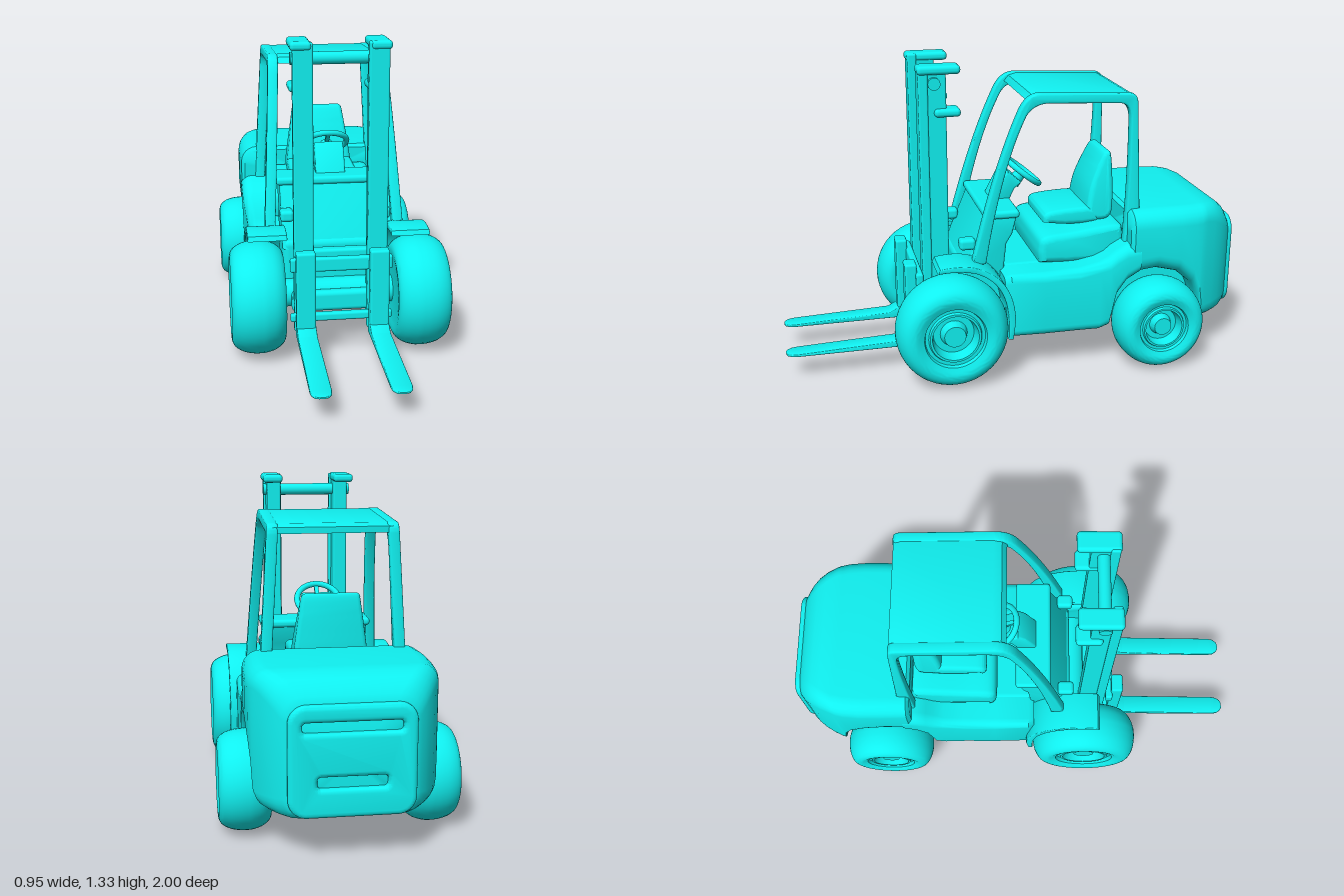
import * as THREE from 'three';
import { toCreasedNormals } from 'three/addons/utils/BufferGeometryUtils.js';
import { RoundedBoxGeometry } from 'three/addons/geometries/RoundedBoxGeometry.js';

const paint = new THREE.MeshStandardMaterial({ color: 0x10f0f0 });
const V2 = (p) => new THREE.Vector2(p[0], p[1]);

// Skin over rounded-rectangle sections [z, halfWidth, yBottom, yTop, radius], listed front to back
function loft(sections, steps = 6) {
  const pos = [], idx = [], n = 4 * (steps + 1);
  for (const [z, w, y0, y1, r] of sections) {
    const corners = [[w - r, y0 + r], [w - r, y1 - r], [r - w, y1 - r], [r - w, y0 + r]];
    corners.forEach(([cx, cy], c) => {
      for (let s = 0; s <= steps; s++) {
        const a = (c - 1 + s / steps) * Math.PI / 2;
        pos.push(cx + r * Math.cos(a), cy + r * Math.sin(a), z);
      }
    });
  }
  const last = sections.length - 1;
  for (let i = 0; i < last; i++) for (let j = 0; j < n; j++) {
    const k = (j + 1) % n, a = i * n + j, b = i * n + k;
    idx.push(a, a + n, b, a + n, b + n, b);
  }
  for (const i of [0, last]) {
    const [z, , y0, y1] = sections[i], centre = pos.length / 3;
    pos.push(0, (y0 + y1) / 2, z);
    for (let j = 0; j < n; j++) {
      const a = i * n + j, b = i * n + (j + 1) % n;
      if (i === 0) idx.push(centre, a, b); else idx.push(centre, b, a);
    }
  }
  const g = new THREE.BufferGeometry();
  g.setAttribute('position', new THREE.Float32BufferAttribute(pos, 3));
  g.setIndex(idx);
  return toCreasedNormals(g, 0.7);
}

// Side profile in (z, y), extruded across x and centred on x = 0
function across(shape, width, bevel = 0.01) {
  const g = new THREE.ExtrudeGeometry(shape, {
    depth: width - 2 * bevel, bevelEnabled: bevel > 0, bevelThickness: bevel,
    bevelSize: bevel, bevelOffset: -bevel, bevelSegments: 3, curveSegments: 16,
  });
  g.translate(0, 0, bevel - width / 2);
  g.rotateY(-Math.PI / 2);
  return toCreasedNormals(g, 0.6);
}
const poly = (pts) => new THREE.Shape(pts.map(V2));
const smooth = (pts) => new THREE.Shape(new THREE.SplineCurve([...pts, pts[0]].map(V2)).getPoints(48).slice(0, -1));

// Rounded box given by its limits
function block(x0, x1, y0, y1, z0, z1, r = 0.012) {
  const g = new RoundedBoxGeometry(x1 - x0, y1 - y0, z1 - z0, 3, r);
  return g.translate((x0 + x1) / 2, (y0 + y1) / 2, (z0 + z1) / 2);
}
const bar = (r, length, y, z) => new THREE.CylinderGeometry(r, r, length, 24).rotateZ(Math.PI / 2).translate(0, y, z);

// Tyre, dished rim and hub in one turned profile; the outer face points to +x
function wheelGeometry(R, x0, x1, y, z) {
  const w = x1 - x0;
  const tyre = new THREE.SplineCurve([[0.56, 0.05], [0.78, 0.03], [0.92, 0.16], [0.99, 0.36],
    [1, 0.55], [0.96, 0.77], [0.86, 0.94], [0.72, 1], [0.6, 0.97]].map(V2)).getPoints(32).map((p) => [Math.min(p.x, 1), p.y]);
  const profile = [[0, 0.05], ...tyre, [0.55, 0.95], [0.53, 0.88], [0.47, 0.88], [0.45, 0.93],
    [0.41, 0.93], [0.36, 0.7], [0.24, 0.7], [0.21, 0.8], [0.19, 0.87], [0, 0.87]];
  const g = new THREE.LatheGeometry(profile.map(([r, t]) => new THREE.Vector2(r * R, t * w)), 48);
  return toCreasedNormals(g.rotateZ(-Math.PI / 2).translate(x0, y, z), 0.6);
}

export function createModel() {
  const model = new THREE.Group();
  const add = (name, geometry) => {
    const m = new THREE.Mesh(geometry, paint);
    m.name = name;
    model.add(m);
    return m;
  };
  // Part at +x and its mirrored twin
  const pair = (name, geometry) => {
    add(name + 'Left', geometry);
    add(name + 'Right', geometry).scale.x = -1;
  };

  // Chassis, side hull and counterweight
  add('chassis', block(-0.23, 0.23, 0.165, 0.46, -0.86, 0.24, 0.03));
  add('hull', loft([
    [0.075, 0.335, 0.18, 0.44, 0.03], [0.05, 0.355, 0.17, 0.455, 0.035], [-0.1, 0.36, 0.167, 0.455, 0.04],
    [-0.25, 0.36, 0.167, 0.46, 0.04], [-0.34, 0.363, 0.167, 0.48, 0.04], [-0.385, 0.365, 0.18, 0.5, 0.05],
    [-0.415, 0.366, 0.32, 0.525, 0.05], [-0.46, 0.368, 0.385, 0.55, 0.05], [-0.52, 0.368, 0.42, 0.56, 0.05]]));
  add('counterweight', loft([
    [-0.475, 0.35, 0.41, 0.68, 0.07], [-0.49, 0.365, 0.41, 0.695, 0.075], [-0.6, 0.37, 0.425, 0.7, 0.075],
    [-0.7, 0.37, 0.4, 0.7, 0.075], [-0.77, 0.364, 0.34, 0.7, 0.075], [-0.8, 0.357, 0.27, 0.7, 0.075],
    [-0.815, 0.352, 0.18, 0.7, 0.07], [-0.83, 0.345, 0.165, 0.699, 0.07], [-0.87, 0.327, 0.163, 0.695, 0.075],
    [-0.91, 0.303, 0.163, 0.68, 0.08], [-0.94, 0.279, 0.165, 0.655, 0.08], [-0.96, 0.258, 0.17, 0.63, 0.08],
    [-0.975, 0.238, 0.18, 0.605, 0.07]]));

  // Rear plate with two slots
  const plate = new THREE.Shape();
  const roundRect = (path, w, y0, y1, r) => {
    path.moveTo(w - r, y0);
    path.absarc(w - r, y0 + r, r, -Math.PI / 2, 0);
    path.absarc(w - r, y1 - r, r, 0, Math.PI / 2);
    path.absarc(r - w, y1 - r, r, Math.PI / 2, Math.PI);
    path.absarc(r - w, y0 + r, r, Math.PI, Math.PI * 1.5);
    return path;
  };
  roundRect(plate, 0.238, 0.18, 0.605, 0.07);
  for (const [w, y0, y1] of [[0.185, 0.5, 0.54], [0.13, 0.29, 0.335]])
    plate.holes.push(roundRect(new THREE.Path(), w, y0, y1, 0.015));
  const plateGeo = new THREE.ExtrudeGeometry(plate, { depth: 0.01, bevelThickness: 0.015, bevelSize: 0.02, bevelOffset: -0.02, bevelSegments: 4 });
  add('rearPlate', toCreasedNormals(plateGeo.translate(0, 0, -0.985), 0.6));

  // Wheels and axles
  pair('frontWheel', wheelGeometry(0.24, 0.228, 0.46, 0.24, 0.31));
  pair('rearWheel', wheelGeometry(0.2, 0.265, 0.475, 0.2, -0.6));
  add('frontAxle', bar(0.06, 0.5, 0.23, 0.26));
  add('rearAxle', bar(0.05, 0.56, 0.2, -0.6));

  // Front mudguards
  const guard = new THREE.Shape();
  guard.moveTo(0.37, 0.505);
  guard.lineTo(0.36, 0.525);
  guard.quadraticCurveTo(0.27, 0.54, 0.21, 0.52);
  guard.bezierCurveTo(0.09, 0.48, 0.04, 0.38, 0.04, 0.26);
  guard.lineTo(0.05, 0.18);
  guard.lineTo(0.07, 0.18);
  guard.bezierCurveTo(0.06, 0.36, 0.1, 0.45, 0.21, 0.495);
  guard.quadraticCurveTo(0.28, 0.515, 0.37, 0.505);
  pair('mudguard', across(guard, 0.165, 0.004).translate(0.302, 0, 0));

  // Cowl, dashboard and steering
  add('cowl', across(poly([[0.24, 0.42], [0.21, 0.5], [0.135, 0.68], [0, 0.68], [0.02, 0.6], [0.045, 0.56], [0.06, 0.42]]), 0.46));
  add('dashboard', block(-0.245, 0.245, 0.675, 0.71, -0.01, 0.145, 0.015));
  add('steeringColumn', across(poly([[0.09, 0.69], [0.035, 0.8], [0, 0.83], [-0.06, 0.775], [-0.03, 0.75], [0, 0.69]]), 0.13));
  const steering = new THREE.Group();
  steering.name = 'steeringWheel';
  const part = (name, geometry) => {
    const m = new THREE.Mesh(geometry, paint);
    m.name = name;
    steering.add(m);
  };
  part('steeringRim', new THREE.TorusGeometry(0.092, 0.013, 12, 40).rotateX(Math.PI / 2));
  part('steeringHub', new THREE.CylinderGeometry(0.025, 0.03, 0.07, 20).translate(0, -0.035, 0));
  for (let i = 0; i < 3; i++)
    part('steeringSpoke', new THREE.BoxGeometry(0.018, 0.012, 0.09).translate(0, -0.006, 0.045).rotateY(i * Math.PI * 2 / 3));
  steering.position.set(0, 0.812, -0.078);
  steering.rotation.x = -0.67;
  model.add(steering);

  // Seat
  add('seatBase', across(smooth([[-0.1, 0.46], [-0.095, 0.52], [-0.12, 0.575], [-0.25, 0.59], [-0.44, 0.61], [-0.475, 0.58], [-0.475, 0.46], [-0.28, 0.45]]), 0.5, 0.03));
  add('seatCushion', across(smooth([[-0.14, 0.61], [-0.145, 0.645], [-0.19, 0.662], [-0.35, 0.668], [-0.385, 0.64], [-0.38, 0.6], [-0.25, 0.595]]), 0.31, 0.02));
  const back = across(smooth([[-0.335, 0.63], [-0.355, 0.75], [-0.41, 0.88], [-0.435, 0.905], [-0.455, 0.89], [-0.46, 0.76], [-0.45, 0.63], [-0.39, 0.605]]), 0.31, 0.02);
  const bp = back.attributes.position;
  for (let i = 0; i < bp.count; i++) bp.setX(i, bp.getX(i) * (1 - 0.9 * Math.max(0, bp.getY(i) - 0.64)));
  back.computeVertexNormals();
  add('seatBack', toCreasedNormals(back, 0.6));

  // Overhead guard: side frames splay outward toward the bottom
  const frame = new THREE.Shape();
  frame.moveTo(0.21, 0.5);
  frame.bezierCurveTo(0.14, 0.78, 0.07, 0.99, 0, 1.14);
  frame.quadraticCurveTo(-0.035, 1.215, -0.1, 1.212);
  frame.lineTo(-0.48, 1.195);
  frame.quadraticCurveTo(-0.515, 1.195, -0.516, 1.15);
  frame.lineTo(-0.535, 0.54);
  frame.lineTo(-0.46, 0.54);
  frame.bezierCurveTo(-0.475, 0.7, -0.484, 0.9, -0.484, 1.08);
  frame.quadraticCurveTo(-0.484, 1.15, -0.44, 1.155);
  frame.lineTo(-0.13, 1.17);
  frame.quadraticCurveTo(-0.06, 1.17, -0.03, 1.12);
  frame.bezierCurveTo(0.04, 0.98, 0.1, 0.78, 0.15, 0.5);
  const sideFrame = across(frame, 0.045, 0.008).translate(0.238, 0, 0);
  const fp = sideFrame.attributes.position;
  for (let i = 0; i < fp.count; i++) fp.setX(i, fp.getX(i) + (1.2 - fp.getY(i)) * 0.058);
  pair('guardFrame', sideFrame);
  add('guardRoof', across(poly([[-0.045, 1.175], [-0.065, 1.2], [-0.1, 1.21], [-0.48, 1.193], [-0.51, 1.18], [-0.51, 1.155], [-0.44, 1.157], [-0.13, 1.172]]), 0.48, 0.004));

  // Mast
  pair('mastRail', block(0.113, 0.196, 0.11, 1.33, 0.365, 0.405, 0.008));
  pair('mastChannel', block(0.123, 0.186, 0.11, 1.32, 0.288, 0.37, 0.008));
  pair('mastTopBracket', block(0.118, 0.206, 1.297, 1.334, 0.23, 0.41, 0.016));
  pair('mastLowerBracket', block(0.118, 0.206, 1.12, 1.155, 0.23, 0.34, 0.016));
  add('mastTopBar', bar(0.026, 0.4, 1.26, 0.34));
  add('mastMiddleBar', block(-0.18, 0.18, 0.39, 0.45, 0.3, 0.35));
  add('mastLowerBar', block(-0.2, 0.2, 0.17, 0.26, 0.3, 0.35, 0.02));
  pair('headlamp', block(0.18, 0.237, 0.543, 0.592, 0.18, 0.25, 0.015));

  // Carriage and forks
  for (const [y0, y1] of [[0.385, 0.445], [0.165, 0.2]])
    add('carriageBar', block(-0.215, 0.215, y0, y1, 0.405, 0.437, 0.01));
  pair('forkShank', block(0.113, 0.194, 0.105, 0.483, 0.43, 0.482, 0.01));
  pair('forkBlade', loft([
    [1, 0.012, 0.108, 0.114, 0.002], [0.993, 0.026, 0.106, 0.115, 0.003], [0.975, 0.038, 0.105, 0.116, 0.004],
    [0.95, 0.042, 0.105, 0.117, 0.004], [0.52, 0.041, 0.105, 0.135, 0.006], [0.475, 0.041, 0.105, 0.16, 0.006],
    [0.44, 0.041, 0.105, 0.165, 0.006]]).translate(0.153, 0, 0));

  return model;
}
